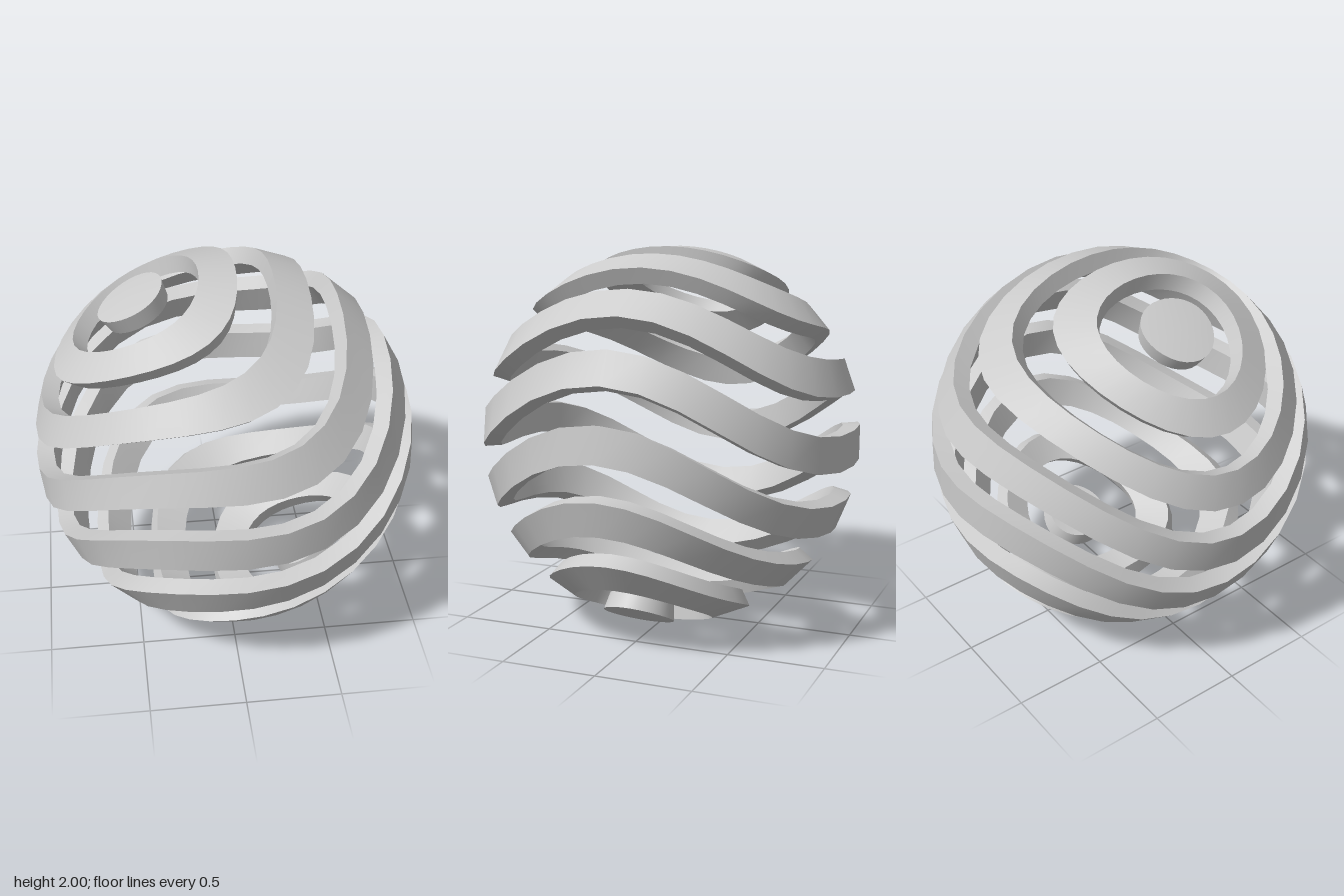
import * as THREE from 'three';
import { toCreasedNormals } from 'three/addons/utils/BufferGeometryUtils.js';

const STRIPES = 17;     // latitude stripes, every second one is kept
const SEGMENTS = 32;    // steps around each ring
const INNER = 0.91;     // inner radius of the shell
const TWIST = 0.5;      // swirl in radians at the rim (z = 0)

// Point on the swirled sphere: rotated about z, most at z = 0, none at the front and back
function swirlPoint(lat, lon, radius) {
  const p = new THREE.Vector3(
    Math.cos(lat) * Math.sin(lon), Math.sin(lat), Math.cos(lat) * Math.cos(lon));
  const turn = TWIST * (1 - p.z * p.z);
  return p.applyAxisAngle(new THREE.Vector3(0, 0, 1), turn).multiplyScalar(radius);
}

// Closed ring with a four-cornered section between two latitudes
function ringGeometry(lat0, lat1) {
  const section = [[lat0, 1], [lat1, 1], [lat1, INNER], [lat0, INNER]];
  const positions = [];
  const addTriangle = (a, b, c) => {
    const area = b.clone().sub(a).cross(c.clone().sub(a)).length();
    if (area > 1e-7) positions.push(...a, ...b, ...c);   // skips collapsed faces at the poles
  };
  for (let j = 0; j < SEGMENTS; j++) {
    const lon0 = (j / SEGMENTS) * Math.PI * 2;
    const lon1 = (((j + 1) % SEGMENTS) / SEGMENTS) * Math.PI * 2;
    for (let i = 0; i < 4; i++) {
      const [latA, rA] = section[i];
      const [latB, rB] = section[(i + 1) % 4];
      const a = swirlPoint(latA, lon0, rA);
      const b = swirlPoint(latA, lon1, rA);
      const c = swirlPoint(latB, lon1, rB);
      const d = swirlPoint(latB, lon0, rB);
      addTriangle(a, b, c);
      addTriangle(a, c, d);
    }
  }
  const geometry = new THREE.BufferGeometry();
  geometry.setAttribute('position', new THREE.Float32BufferAttribute(positions, 3));
  return toCreasedNormals(geometry, 0.8);
}

export function createModel() {
  const model = new THREE.Group();
  model.name = 'swirledSphere';
  const material = new THREE.MeshStandardMaterial({ color: 0xcccccc });

  // Stripes from the bottom cap up to the top cap
  const step = Math.PI / STRIPES;
  for (let k = 0; k < STRIPES; k += 2) {
    const lat0 = -Math.PI / 2 + k * step;
    const mesh = new THREE.Mesh(ringGeometry(lat0, lat0 + step), material);
    mesh.name = k === 0 ? 'bottomCap' : k === STRIPES - 1 ? 'topCap' : `band${k / 2}`;
    mesh.position.y = 1;
    model.add(mesh);
  }
  return model;
}
